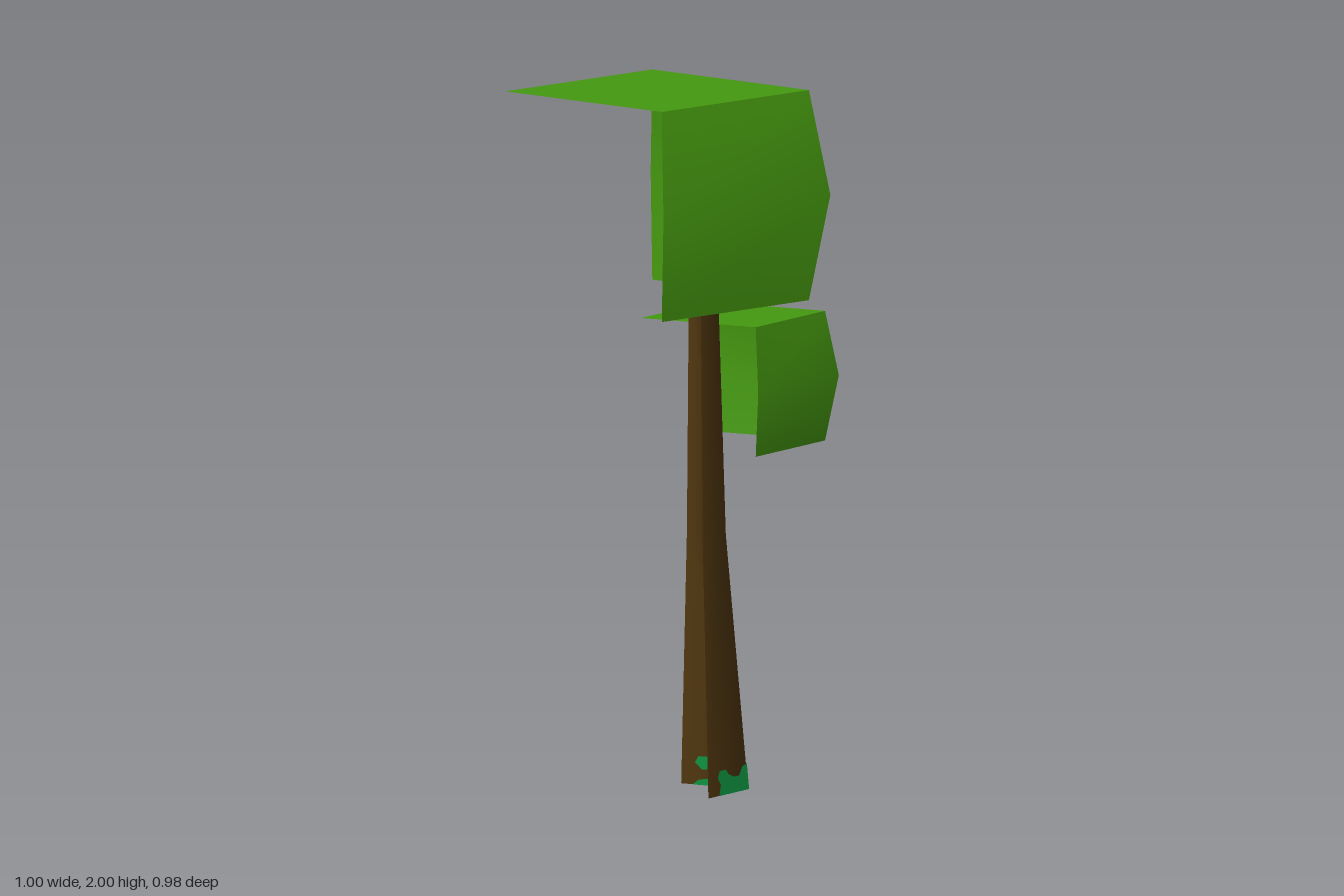
import * as THREE from 'three';

const flat = (name, color) => {
  const m = new THREE.MeshStandardMaterial({ color, side: THREE.DoubleSide });
  m.name = name;
  return m;
};

// Smooth open surface through rows of points (bottom to top, left to right from outside)
function sheet(rows) {
  const cols = rows[0].length, index = [];
  for (let r = 0; r < rows.length - 1; r++) {
    for (let c = 0; c < cols - 1; c++) {
      const a = r * cols + c, b = a + 1, d = a + cols, e = d + 1;
      index.push(a, b, e, a, e, d);
    }
  }
  const g = new THREE.BufferGeometry();
  g.setAttribute('position', new THREE.Float32BufferAttribute(rows.flat(2), 3));
  g.setIndex(index);
  g.computeVertexNormals();
  return g;
}

// Trunk: V-shaped cross-section, flaring to the ground
const LEVELS = [[0, 0.16], [0.73, 0.093], [1.4, 0.071]];
const CX = 0.025, CZ = 0.03, DEPTH = 0.97;
const radius = y => y < 0.73
  ? THREE.MathUtils.mapLinear(y, 0, 0.73, 0.16, 0.093)
  : THREE.MathUtils.mapLinear(y, 0.73, 1.4, 0.093, 0.071);

// Moss patch: outline in (z, y), laid on the trunk surface
function mossPatch(points, offset) {
  const g = new THREE.ShapeGeometry(new THREE.Shape(points.map(([z, y]) => new THREE.Vector2(-z, y))));
  const p = g.attributes.position;
  for (let i = 0; i < p.count; i++) {
    const z = -p.getX(i), y = p.getY(i);
    p.setXYZ(i, CX + DEPTH * (radius(y) - Math.abs(z - CZ)) + offset, y, z);
  }
  g.computeVertexNormals();
  return g;
}

export function createModel() {
  const tree = new THREE.Group();
  tree.name = 'tree';
  const leaf = flat('leaf green', 0x469a10);
  const bark = flat('bark brown', 0x553a10);
  const moss = flat('moss green', 0x0f9a44);

  const add = (parent, name, geometry, material) => {
    const m = new THREE.Mesh(geometry, material);
    m.name = name;
    parent.add(m);
  };

  // Leaf block: a flat top and two bulging walls, open elsewhere
  const canopy = (name, y0, y1, inner, outer, farCorner) => {
    const g = new THREE.Group();
    g.name = name;
    const at = ([x, z], y) => [x, y, z];
    const mid = (y0 + y1) / 2;
    for (let i = 0; i < 2; i++) {
      const pair = [i, i + 1];
      add(g, name + 'Wall', sheet([
        pair.map(k => at(inner[k], y0)),
        pair.map(k => at(outer[k], mid)),
        pair.map(k => at(inner[k], y1)),
      ]), leaf);
    }
    add(g, name + 'Top', sheet([
      [at(inner[0], y1), at(inner[1], y1)],
      [at(farCorner, y1), at(inner[2], y1)],
    ]), leaf);
    tree.add(g);
  };

  canopy('mainCanopy', 1.4, 2,
    [[-0.17, 0.43], [0.34, 0.1], [0.01, -0.41]],
    [[-0.18, 0.49], [0.4, 0.11], [0.02, -0.47]], [-0.5, -0.08]);
  canopy('sideCanopy', 0.955, 1.325,
    [[0.19, 0.08], [0.46, -0.195], [0.19, -0.455]],
    [[0.19, 0.11], [0.5, -0.195], [0.19, -0.49]], [-0.08, -0.18]);

  add(tree, 'trunk', sheet(LEVELS.map(([y, r]) =>
    [[CX, y, CZ + r], [CX + DEPTH * r, y, CZ], [CX, y, CZ - r]])), bark);

  // Branch: a beam running back, then an upright under the side canopy
  add(tree, 'branchBeam', sheet([
    [[0.09, 0.695, -0.02], [0.155, 0.72, -0.27]],
    [[0.09, 0.78, -0.005], [0.158, 0.78, -0.255]],
  ]), bark);
  add(tree, 'branchBeamTop', sheet([
    [[0.09, 0.78, -0.005], [0.158, 0.78, -0.255]],
    [[0.06, 0.78, -0.03], [0.09, 0.78, -0.28]],
  ]), bark);
  add(tree, 'branchUpright', sheet([
    [[0.09, 0.77, -0.235], [0.155, 0.72, -0.27], [0.09, 0.72, -0.313]],
    [[0.09, 0.985, -0.233], [0.175, 0.985, -0.27], [0.09, 0.985, -0.313]],
  ]), bark);

  // Moss around the foot, split at the trunk's ridge, on both faces of the bark
  const patches = [
    [[0.15, 0], [0.03, 0], [0.03, 0.075], [0.05, 0.068], [0.065, 0.045], [0.085, 0.045],
      [0.105, 0.055], [0.115, 0.07], [0.14, 0.07], [0.15, 0.05], [0.14, 0.03]],
    [[0.03, 0], [-0.1, 0], [-0.085, 0.015], [-0.05, 0.022], [-0.03, 0.035], [-0.015, 0.03],
      [-0.005, 0.06], [0.01, 0.065], [0.02, 0.055], [0.03, 0.075]],
    [[-0.045, 0.05], [-0.075, 0.045], [-0.09, 0.065], [-0.08, 0.083], [-0.055, 0.083], [-0.04, 0.068]],
  ];
  for (const offset of [0.003, -0.003]) {
    for (const p of patches) add(tree, 'mossPatch', mossPatch(p, offset), moss);
  }
  return tree;
}
